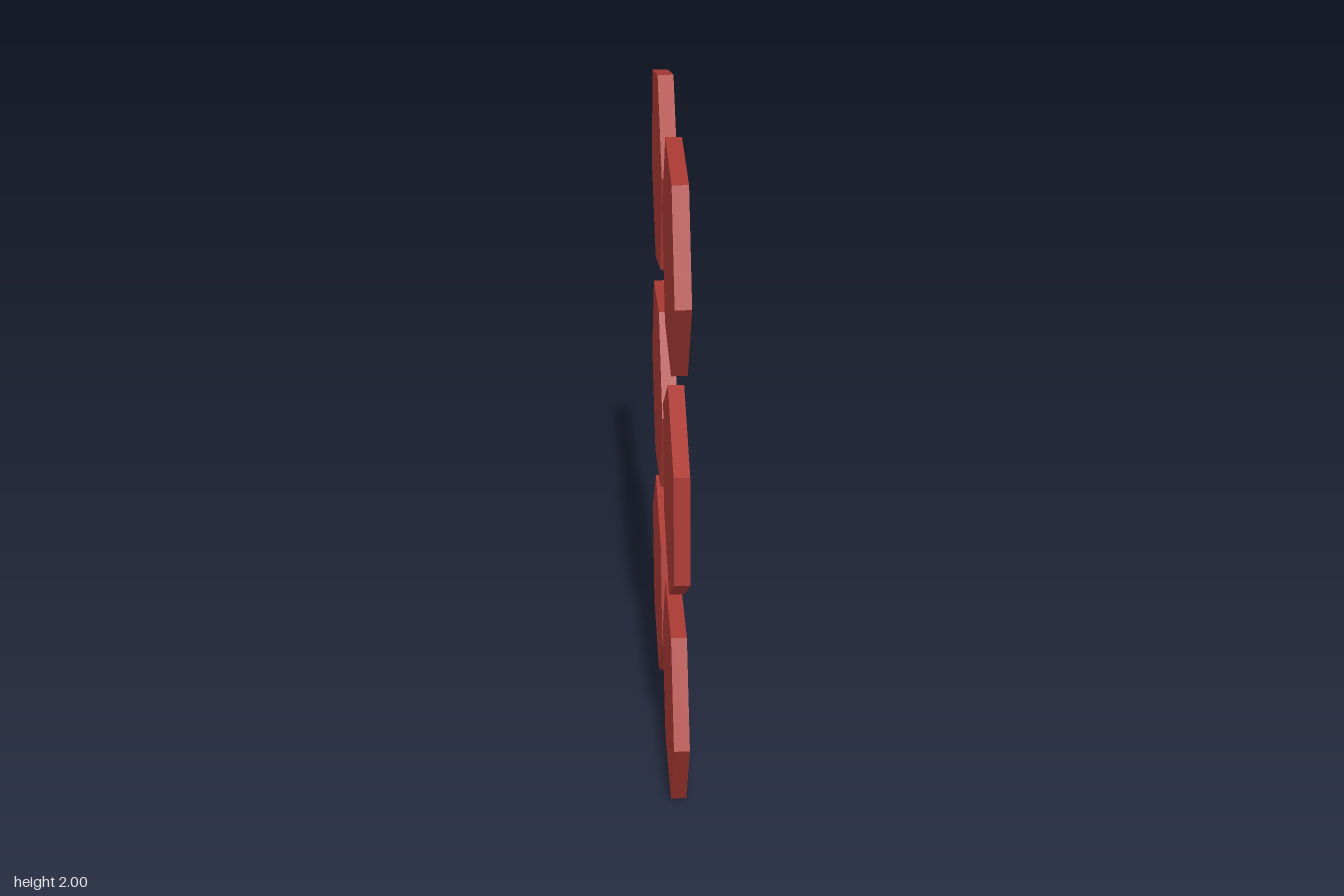
import * as THREE from 'three';

export function createModel() {
  const group = new THREE.Group();
  const red = new THREE.MeshStandardMaterial({ color: 0xaa3a34, flatShading: true });
  red.name = 'brick red';

  // Hexagonal tile lying in the yz plane, one corner pointing to +z
  const hexagon = new THREE.CylinderGeometry(0.32, 0.32, 0.045, 6).rotateZ(Math.PI / 2);

  // Each tile: name, height, depth, tilt in degrees (its +z corner turned upward)
  const tiles = [
    ['bottomFrontTile', 0.302, 0.32, 0],
    ['bottomBackTile', 0.311, -0.334, -14],
    ['middleFrontTile', 0.976, 0.342, -24.8],
    ['middleBackTile', 0.991, -0.324, 6.6],
    ['topFrontTile', 1.685, 0.329, -2.4],
    ['topBackTile', 1.689, -0.32, 15.9],
  ];
  for (const [name, y, z, tilt] of tiles) {
    const tile = new THREE.Mesh(hexagon, red);
    tile.name = name;
    tile.position.set(0, y, z);
    tile.rotation.x = -THREE.MathUtils.degToRad(tilt);
    group.add(tile);
  }
  return group;
}
